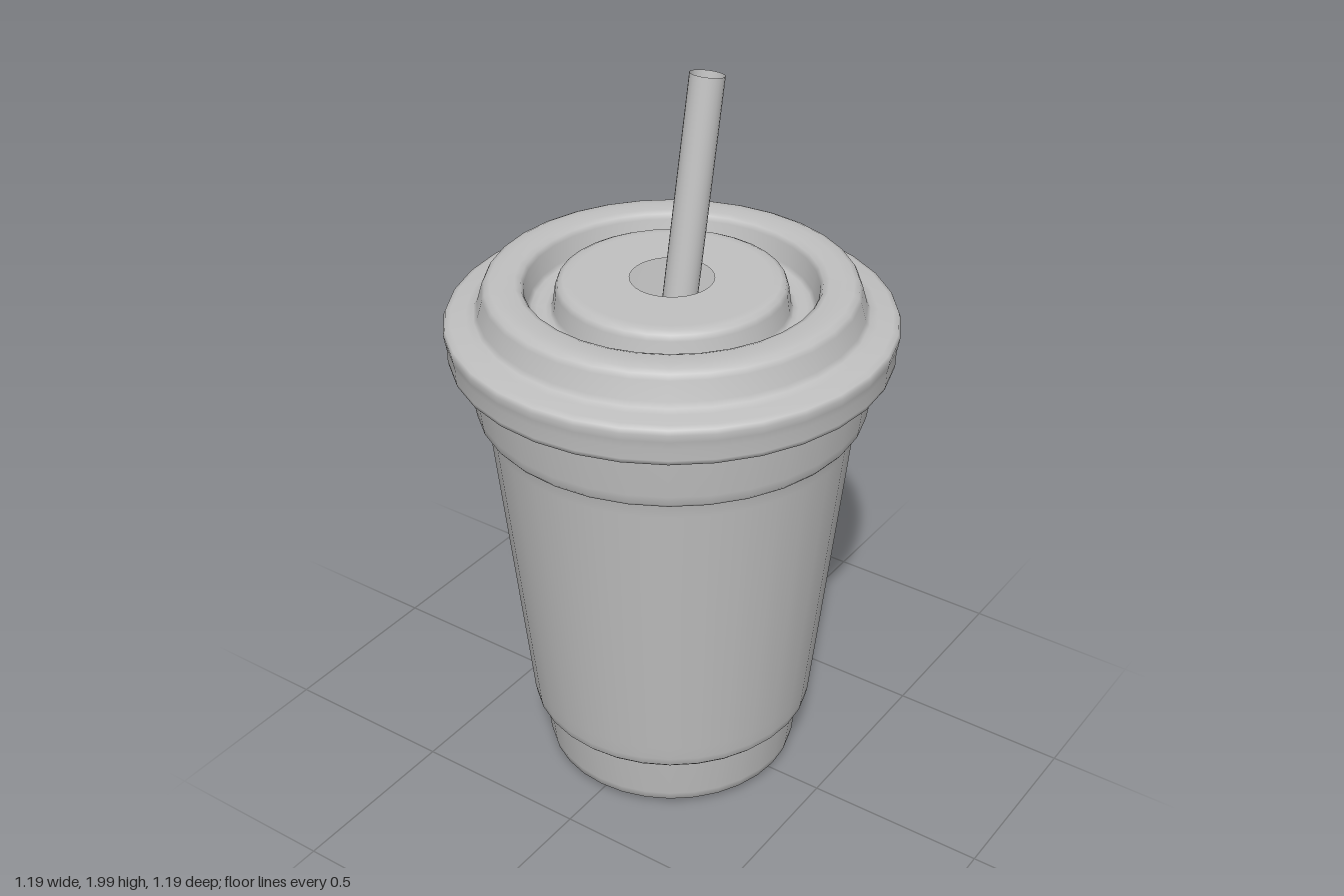
import * as THREE from 'three';

const SIDES = 32;

// Smooth thin shell turned around the y axis from [radius, height] pairs
function turned(name, profile, material) {
  const points = profile.map(([r, y]) => new THREE.Vector2(r, y));
  const mesh = new THREE.Mesh(new THREE.LatheGeometry(points, SIDES), material);
  mesh.name = name;
  return mesh;
}

export function createModel() {
  const group = new THREE.Group();
  group.name = 'drinkCup';

  const grey = new THREE.MeshStandardMaterial({ color: 0xc0c0c0, side: THREE.DoubleSide });
  grey.name = 'plain grey';

  // Cup: rounded foot, tapered body, wider collar and a lip under the lid
  group.add(turned('cup', [
    [0, 0.005], [0.29, 0.005], [0.31, 0.006], [0.335, 0.012], [0.35, 0.025], [0.356, 0.05],
    [0.368, 0.165], [0.371, 0.175], [0.385, 0.178], [0.394, 0.188], [0.398, 0.21],
    [0.402, 0.25], [0.488, 1.07], [0.492, 1.108], [0.497, 1.115], [0.512, 1.12],
    [0.52, 1.13], [0.524, 1.155], [0.538, 1.285], [0.542, 1.33], [0.55, 1.35], [0.56, 1.352],
  ], grey));

  // Lid: flared rim, raised ring, round groove and flat centre with a straw hole
  group.add(turned('lid', [
    [0.545, 1.287], [0.575, 1.286], [0.585, 1.288], [0.587, 1.3], [0.588, 1.335], [0.592, 1.355],
    [0.595, 1.375], [0.59, 1.387], [0.575, 1.393], [0.535, 1.397], [0.515, 1.402],
    [0.506, 1.415], [0.492, 1.465], [0.485, 1.479], [0.47, 1.486], [0.445, 1.488],
    [0.405, 1.487], [0.39, 1.481], [0.383, 1.468], [0.374, 1.415], [0.366, 1.403],
    [0.352, 1.4], [0.328, 1.4], [0.316, 1.403], [0.309, 1.415], [0.302, 1.465],
    [0.296, 1.48], [0.282, 1.487], [0.26, 1.488], [0.11, 1.488],
  ], grey));

  // Straw: open tube leaning back, running down to the floor of the cup
  const top = new THREE.Vector3(0, 1.99, -0.156);
  const bottom = new THREE.Vector3(0, 0.05, 0.244);
  const straw = new THREE.Mesh(
    new THREE.CylinderGeometry(0.046, 0.046, top.distanceTo(bottom), 24, 1, true), grey);
  straw.name = 'straw';
  straw.position.copy(top).add(bottom).multiplyScalar(0.5);
  straw.rotation.x = Math.atan2(top.z - bottom.z, top.y - bottom.y);
  group.add(straw);

  return group;
}
